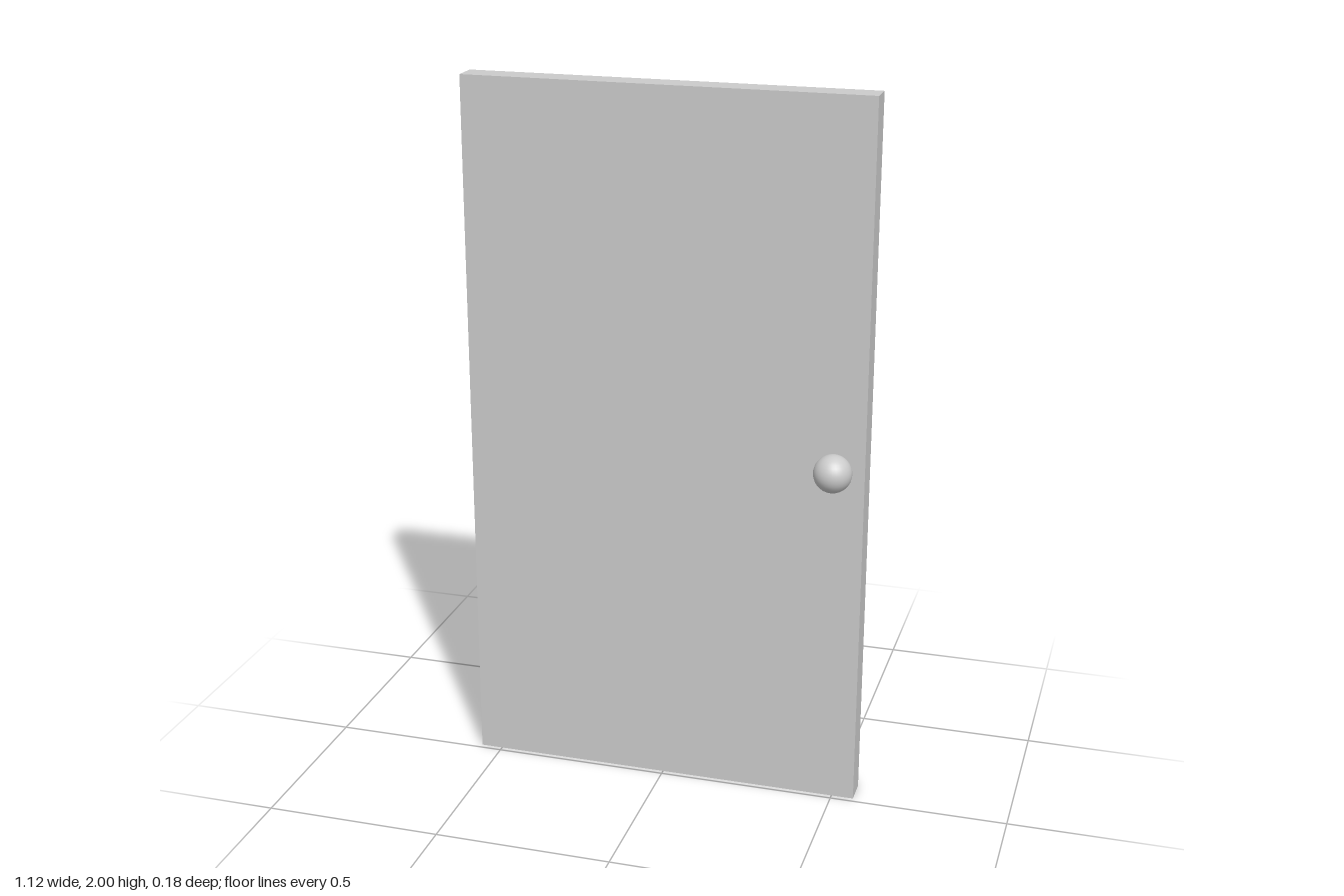
import * as THREE from 'three';

export function createModel() {
  const group = new THREE.Group();
  group.name = 'door';
  const material = new THREE.MeshStandardMaterial({ color: 0xcccccc });

  const add = (name, geometry, x, y, z) => {
    const mesh = new THREE.Mesh(geometry, material);
    mesh.name = name;
    mesh.position.set(x, y, z);
    group.add(mesh);
  };

  // Plain slab, standing on the floor
  add('doorPanel', new THREE.BoxGeometry(1.125, 2, 0.075), 0, 1, -0.0525);

  // Round knob touching the front face near the left edge
  add('doorKnob', new THREE.SphereGeometry(0.0525, 32, 16), 0.485, 1, 0.0375);

  return group;
}
